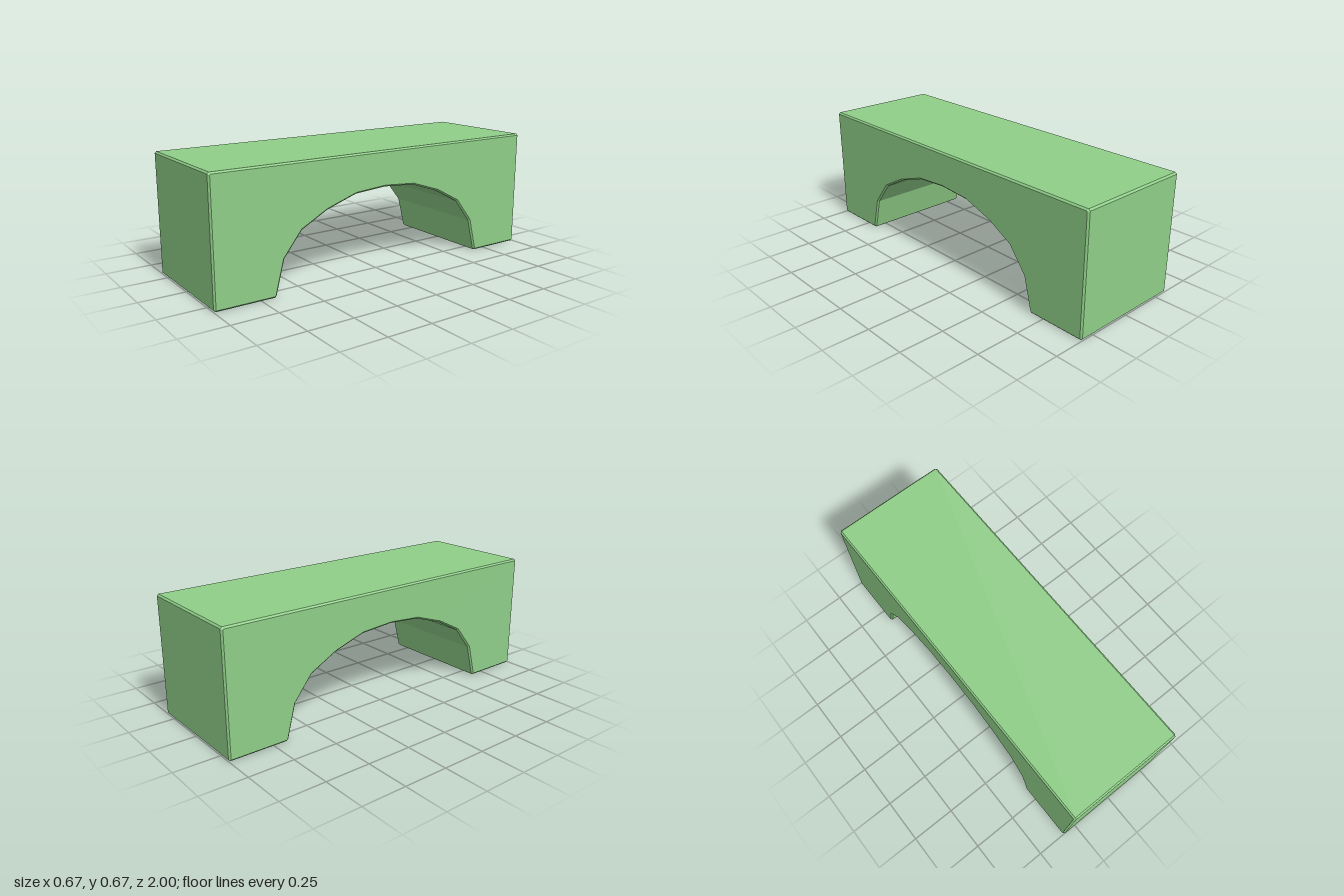
import * as THREE from 'three';

const WIDTH = 0.666, HEIGHT = 0.667, HALF_LENGTH = 1, BEVEL = 0.009;

export function createModel() {
  const group = new THREE.Group();
  group.name = 'archBlock';

  // Half of the side outline, from the crown of the arch round to the top
  const half = [
    [0.19, 0.458], [0.365, 0.4], [0.515, 0.32], [0.618, 0.19],
    [0.665, 0.009], [0.674, 0],
    [HALF_LENGTH - BEVEL, 0], [HALF_LENGTH, BEVEL],
    [HALF_LENGTH, HEIGHT - BEVEL], [HALF_LENGTH - BEVEL, HEIGHT],
  ];
  const mirrored = half.map(([z, y]) => [-z, y]).reverse();
  const outline = [[0, 0.472], ...half, ...mirrored].map(([z, y]) => new THREE.Vector2(z, y));

  // Extrude across the width, with a fine chamfer on both side faces
  const geometry = new THREE.ExtrudeGeometry(new THREE.Shape(outline), {
    depth: WIDTH - 2 * BEVEL,
    bevelEnabled: true,
    bevelThickness: BEVEL,
    bevelSize: BEVEL,
    bevelOffset: -BEVEL,
    bevelSegments: 1,
  });
  geometry.translate(0, 0, BEVEL - WIDTH / 2);
  geometry.rotateY(-Math.PI / 2);

  const block = new THREE.Mesh(geometry, new THREE.MeshStandardMaterial({ color: 0x8fce88 }));
  block.name = 'archedBlock';
  group.add(block);
  return group;
}
